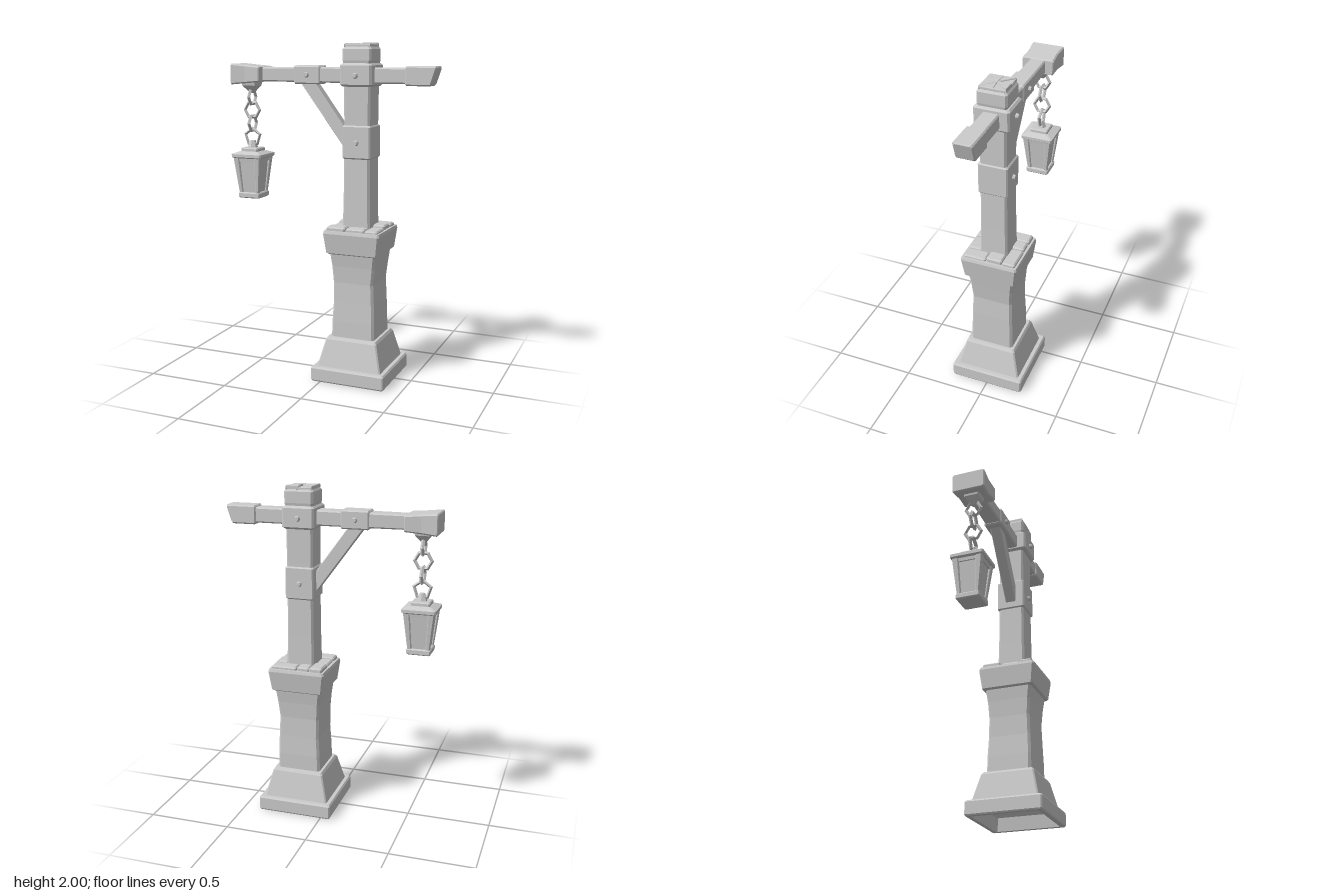
import * as THREE from 'three';

const material = new THREE.MeshStandardMaterial({ color: 0xcccccc, flatShading: true });
const POST_X = 0.17, BEAM_Y = 1.815, LAMP_X = -0.545;

// Skin chamfered rectangular rings [y, halfX, halfZ, centreX, centreZ] and cap both ends
function loft(rings, chamfer = 0.008) {
  const loops = rings.map(([y, hx, hz = hx, cx = 0, cz = 0]) => {
    const c = Math.min(chamfer, hx * 0.5, hz * 0.5);
    return [[hx, -hz + c], [hx, hz - c], [hx - c, hz], [-hx + c, hz],
      [-hx, hz - c], [-hx, -hz + c], [-hx + c, -hz], [hx - c, -hz]]
      .map(([x, z]) => [x + cx, y, z + cz]);
  });
  const pos = [];
  const tri = (...pts) => pts.forEach((p) => pos.push(...p));
  const centre = ([y, , , cx = 0, cz = 0]) => [cx, y, cz];
  const last = loops.length - 1;
  for (let i = 0; i < 8; i++) {
    const j = (i + 1) % 8;
    for (let k = 0; k < last; k++) {
      const a = loops[k][i], b = loops[k][j], c = loops[k + 1][j], d = loops[k + 1][i];
      tri(a, d, b);
      tri(b, d, c);
    }
    tri(centre(rings[0]), loops[0][i], loops[0][j]);
    tri(centre(rings[last]), loops[last][j], loops[last][i]);
  }
  const g = new THREE.BufferGeometry();
  g.setAttribute('position', new THREE.Float32BufferAttribute(pos, 3));
  g.computeVertexNormals();
  return g;
}

// Block with chamfers on every edge, standing between y0 and y1
function block(y0, y1, hx, hz = hx, cx = 0, cz = 0, c = 0.008) {
  return loft([[y0, hx - c, hz - c, cx, cz], [y0 + c, hx, hz, cx, cz],
    [y1 - c, hx, hz, cx, cz], [y1, hx - c, hz - c, cx, cz]], c);
}

function add(parent, name, geometry, x = 0, y = 0, z = 0) {
  const mesh = new THREE.Mesh(geometry, material);
  mesh.name = name;
  mesh.position.set(x, y, z);
  parent.add(mesh);
  return mesh;
}

function group(parent, name, x = 0, y = 0, z = 0) {
  const g = new THREE.Group();
  g.name = name;
  g.position.set(x, y, z);
  parent.add(g);
  return g;
}

// Domed bolt heads on the front and back
function bolts(parent, name, x, y, z) {
  for (const s of [1, -1]) {
    const g = new THREE.CylinderGeometry(0.012, 0.02, 0.024, 8).rotateX(s * Math.PI / 2);
    add(parent, name, g, x, y, s * z);
  }
}

function buildPedestal(root) {
  const p = group(root, 'pedestal', POST_X);
  // Hollow foot: the rings run down the inside, then up the outside
  add(p, 'foot', loft([[0.25, 0.05], [0.1, 0.175], [0.08, 0.19], [0, 0.2], [0, 0.225], [0.008, 0.23],
    [0.08, 0.23], [0.09, 0.222], [0.09, 0.2], [0.25, 0.16], [0.265, 0.15]]));
  add(p, 'column', loft([[0.255, 0.135], [0.36, 0.132, 0.134], [0.48, 0.127, 0.129, 0.002],
    [0.6, 0.125, 0.126, -0.002], [0.7, 0.134, 0.133], [0.79, 0.145]], 0.014));
  add(p, 'capital', loft([[0.775, 0.15], [0.782, 0.16], [0.9, 0.175], [0.917, 0.17], [0.917, 0.15]], 0.01));
  // Paving stones pinwheeled around the post
  const heights = [0.94, 0.932, 0.936, 0.943];
  for (let i = 0; i < 4; i++) {
    const split = -0.04 + 0.02 * (i % 3);
    [[-0.158, split - 0.002], [split + 0.002, 0.078]].forEach(([a, b], k) => {
      const stone = block(0.905, heights[(i + 2 * k) % 4], (b - a) / 2, 0.039, (a + b) / 2, 0.119 - 0.003 * k);
      add(p, 'capStone', stone).rotation.y = i * Math.PI / 2;
    });
  }
}

function buildPost(root) {
  const p = group(root, 'post', POST_X);
  add(p, 'shaft', loft([[0.9, 0.086], [1.1, 0.082], [1.33, 0.08], [1.55, 0.08], [1.95, 0.083]], 0.012));
  add(p, 'braceBand', block(1.335, 1.53, 0.087, 0.089));
  add(p, 'beamCollar', block(1.752, 1.885, 0.097, 0.105, 0, 0, 0.012));
  add(p, 'postHead', loft([[1.88, 0.084], [1.9, 0.088], [1.965, 0.088], [1.978, 0.078]], 0.012));
  // Split end grain: wedges fanned about the centre with narrow gaps
  const edge = [0, 0.55, 1, 1.5, 2, 2.45, 3, 3.55, 4];
  const onSquare = (t, r) => {
    const s = Math.floor(t) % 4, u = 2 * (t - Math.floor(t)) - 1;
    return new THREE.Vector2(r, r * u).rotateAround(new THREE.Vector2(), s * Math.PI / 2);
  };
  for (let i = 0; i < 8; i++) {
    const pts = [new THREE.Vector2(), onSquare(edge[i], 0.078), onSquare(edge[i + 1] - 1e-6, 0.078)];
    const mid = pts[0].clone().add(pts[1]).add(pts[2]).divideScalar(3);
    pts.forEach((v) => v.lerp(mid, 0.1));
    const g = new THREE.ExtrudeGeometry(new THREE.Shape(pts), {
      depth: 0.012 + 0.003 * (i % 3), bevelEnabled: true, bevelSize: 0.004, bevelThickness: 0.004, bevelSegments: 1,
    });
    add(p, 'endGrainWedge', g.rotateX(-Math.PI / 2), 0, 1.978 - 0.003 * (i % 2), 0);
  }
  bolts(p, 'collarBolt', 0, 1.815, 0.11);
  bolts(p, 'bandBolt', 0, 1.43, 0.092);
}

function buildBeam(root) {
  const b = group(root, 'beam', 0, BEAM_Y);
  const lay = (g) => g.rotateZ(-Math.PI / 2);
  add(b, 'crossbeam', lay(loft([[-0.5, 0.042, 0.046], [-0.25, 0.043, 0.05], [0.1, 0.045, 0.048], [0.5, 0.045, 0.048]])));
  add(b, 'braceSleeve', lay(block(-0.24, -0.07, 0.054, 0.057)));
  add(b, 'lampEnd', lay(loft([[-0.64, 0.056, 0.094], [-0.634, 0.062, 0.1], [-0.545, 0.054, 0.092],
    [-0.455, 0.046, 0.098], [-0.448, 0.042, 0.092]])));
  // Slanted tip: the top reaches further out than the bottom
  const tip = lay(block(0.448, 0.618, 0.055, 0.057));
  const v = tip.attributes.position;
  for (let i = 0; i < v.count; i++) {
    if (v.getX(i) > 0.55) v.setX(i, v.getX(i) + v.getY(i) * 0.33);
  }
  tip.computeVertexNormals();
  add(b, 'slantedEnd', tip);
  bolts(b, 'sleeveBolt', -0.155, 0, 0.06);

  // Diagonal brace between beam and post
  const shape = new THREE.Shape([[-0.205, 1.775], [0.1, 1.36], [0.1, 1.475], [-0.12, 1.775]]
    .map(([x, y]) => new THREE.Vector2(x, y)));
  add(root, 'diagonalBrace', new THREE.ExtrudeGeometry(shape, {
    depth: 0.056, bevelEnabled: true, bevelSize: 0.004, bevelThickness: 0.004, bevelSegments: 1,
  }), 0, 0, -0.028);
}

function buildLantern(root) {
  const l = group(root, 'hangingLantern', LAMP_X);
  add(l, 'chainMount', loft([[1.7, 0.012], [1.745, 0.045], [1.775, 0.05]], 0.006));
  // Chain: alternate links turn a quarter
  [[1.675, 0.047, 6, 1], [1.597, 0.05, 6, 0], [1.515, 0.05, 6, 1], [1.432, 0.052, 5, 0]].forEach(([y, r, n, turn]) => {
    const ring = new THREE.TorusGeometry(r, 0.011, 4, n).rotateZ(n === 5 ? Math.PI / 2 : 0);
    add(l, 'chainLink', ring, 0, y, 0).rotation.y = turn * Math.PI / 2;
  });
  add(l, 'topKnob', new THREE.CylinderGeometry(0.016, 0.034, 0.05, 6), 0, 1.385, 0);
  add(l, 'roofCap', block(1.335, 1.367, 0.056, 0.056, 0, 0, 0.006));
  add(l, 'roof', loft([[1.305, 0.09], [1.312, 0.1], [1.33, 0.1], [1.346, 0.06]]));
  add(l, 'glass', loft([[1.07, 0.054], [1.31, 0.077]]));
  add(l, 'topRail', loft([[1.285, 0.083], [1.31, 0.086]]));
  add(l, 'bottomRail', block(1.057, 1.092, 0.071, 0.071, 0, 0, 0.006));
  // Tapered corner bars
  for (const sx of [1, -1]) for (const sz of [1, -1]) {
    add(l, 'cornerBar', loft([[1.08, 0.012, 0.012, sx * 0.053, sz * 0.053],
      [1.31, 0.019, 0.019, sx * 0.072, sz * 0.072]], 0.005));
  }
}

export function createModel() {
  const root = new THREE.Group();
  root.name = 'lanternPost';
  buildPedestal(root);
  buildPost(root);
  buildBeam(root);
  buildLantern(root);
  return root;
}
